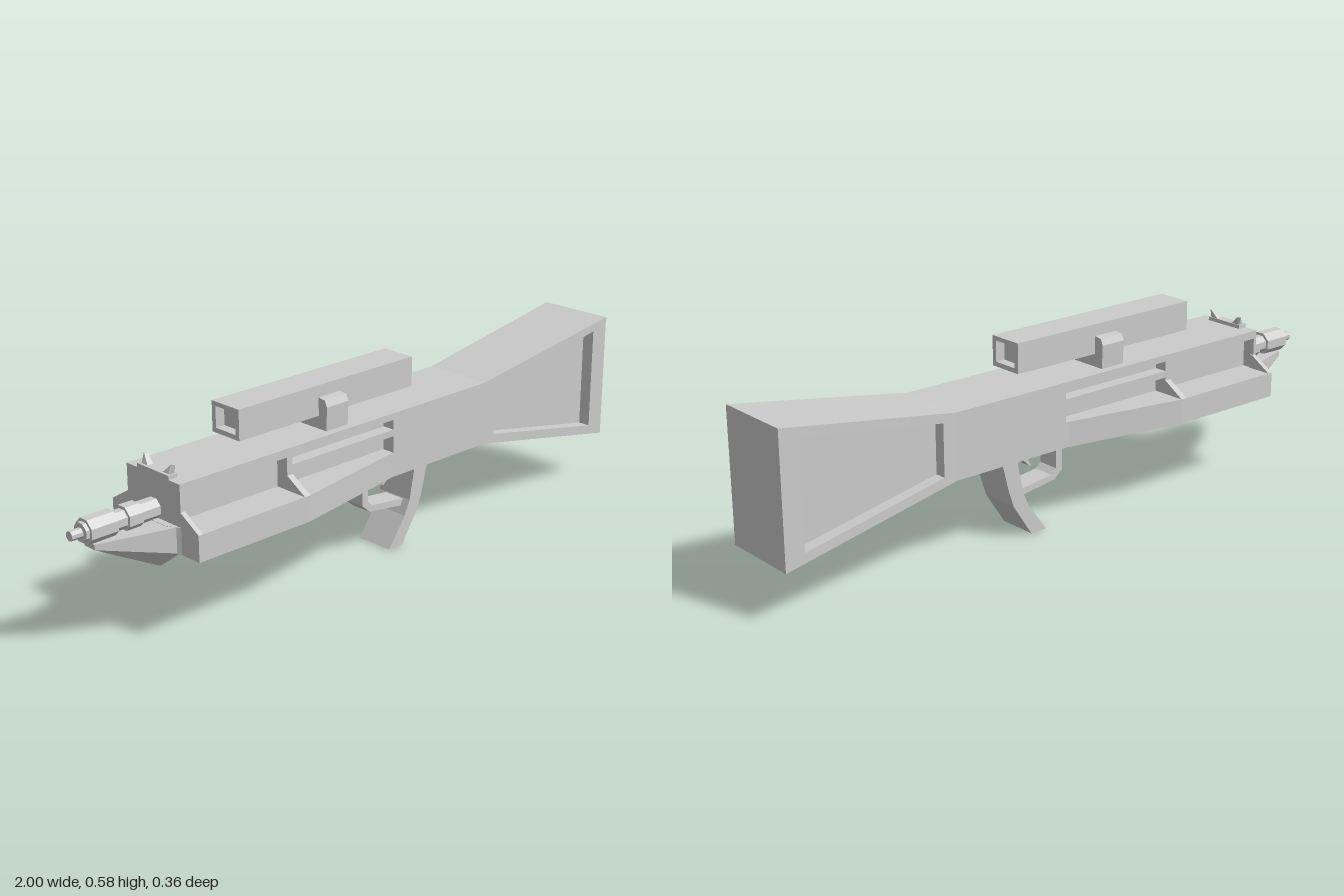
import * as THREE from 'three';
import { ConvexGeometry } from 'three/addons/geometries/ConvexGeometry.js';

const material = new THREE.MeshStandardMaterial({ color: 0xcccccc, flatShading: true });
const vec = (pts) => pts.map(([x, y]) => new THREE.Vector2(x, y));
const rect = (x0, x1, y0, y1) => [[x0, y0], [x1, y0], [x1, y1], [x0, y1]];

// Outline in the xy plane (with optional holes), extruded from z0 to z1
function slab(points, z0, z1, holes = []) {
  const shape = new THREE.Shape(vec(points));
  for (const h of holes) shape.holes.push(new THREE.Path(vec(h)));
  const geo = new THREE.ExtrudeGeometry(shape, { depth: z1 - z0, bevelEnabled: false });
  return geo.translate(0, 0, z0);
}

// Outline in the zy plane, extruded along x
function crossSlab(points, x0, x1, holes) {
  return slab(points, x0, x1, holes).rotateY(Math.PI / 2);
}

const hull = (pts) => new ConvexGeometry(pts.map((p) => new THREE.Vector3(...p)));

export function createModel() {
  const model = new THREE.Group();
  const add = (name, geo) => {
    const mesh = new THREE.Mesh(geo, material);
    mesh.name = name;
    model.add(mesh);
    return mesh;
  };

  // Receiver: narrow core with slotted side plates
  const bodyOutline = rect(-0.73, 0.44, 0.255, 0.45);
  const slots = [
    rect(-0.72, -0.36, 0.33, 0.425),
    rect(-0.34, 0.05, 0.40, 0.43),
    rect(-0.34, 0.05, 0.33, 0.38),
  ];
  add('receiverCore', slab(bodyOutline, -0.07, 0.07));

  // Stock: flared outline with a recessed panel each side, widening to the butt
  const stockOutline = [[0.44, 0.255], [1, 0.15], [1, 0.54], [0.44, 0.45]];
  const panel = [[0.485, 0.275], [0.94, 0.19], [0.94, 0.505], [0.485, 0.43]];
  const widen = (geo) => {
    const p = geo.attributes.position;
    for (let i = 0; i < p.count; i++) p.setZ(i, p.getZ(i) * (1 + (p.getX(i) - 0.44) * 0.19));
    return geo;
  };
  add('stockCore', widen(slab(stockOutline, -0.075, 0.075)));

  for (const s of [1, -1]) {
    const side = s > 0 ? 'front' : 'rear';
    const [a, b] = s > 0 ? [0.07, 0.11] : [-0.11, -0.07];
    add(side + 'ReceiverPlate', slab(bodyOutline, a, b, slots));
    const [c, d] = s > 0 ? [0.075, 0.11] : [-0.11, -0.075];
    add(side + 'StockPlate', widen(slab(stockOutline, c, d, [panel])));

    // Handguard wing, full width forward and tapering back into the receiver
    const wing = [];
    for (const y of [0.254, 0.33]) {
      wing.push([-0.73, y, s * 0.1], [-0.73, y, s * 0.18], [-0.345, y, s * 0.18], [0.04, y, s * 0.11], [0.04, y, s * 0.1]);
    }
    add(side + 'Wing', hull(wing));

    // Triangular webs at both ends of the wing ledge
    for (const [x0, x1] of [[-0.73, -0.715], [-0.36, -0.34]]) {
      const web = [];
      for (const x of [x0, x1]) web.push([x, 0.32, s * 0.1], [x, 0.33, s * 0.18], [x, 0.372, s * 0.11], [x, 0.372, s * 0.1]);
      add(side + 'WingWeb', hull(web));
    }

    // Foresight prongs, leaning back and spread apart
    add(side + 'SightProng', hull([
      [-0.728, 0.445, s * 0.015], [-0.705, 0.445, s * 0.015],
      [-0.728, 0.445, s * 0.055], [-0.705, 0.445, s * 0.055],
      [-0.712, 0.485, s * 0.055], [-0.7, 0.485, s * 0.055], [-0.706, 0.485, s * 0.065],
    ]));
  }
  add('sightBase', new THREE.BoxGeometry(0.03, 0.015, 0.13).translate(-0.715, 0.454, 0));

  // Muzzle collar and wedge below the barrel
  add('muzzleCollar', hull([
    ...[[-0.73, 0.11], [-0.75, 0.07]].flatMap(([x, z]) =>
      [[x, 0.33, z], [x, 0.33, -z], [x, 0.255, z], [x, 0.255, -z]]),
  ]));
  add('noseWedge', hull([-1, 1].flatMap((s) => [
    [-0.94, 0.32, s * 0.022], [-0.94, 0.305, s * 0.022], [-0.76, 0.215, s * 0.055],
    [-0.755, 0.245, s * 0.075], [-0.73, 0.255, s * 0.1], [-0.73, 0.33, s * 0.1],
  ])));

  // Stepped octagonal barrel: start x, end x, half-height
  const steps = [
    [-1, -0.96, 0.013], [-0.966, -0.955, 0.026], [-0.955, -0.87, 0.034], [-0.87, -0.835, 0.026],
    [-0.835, -0.79, 0.034], [-0.79, -0.72, 0.028],
  ];
  for (const [x0, x1, r] of steps) {
    const R = r / Math.cos(Math.PI / 8);
    const geo = new THREE.CylinderGeometry(R, R, x1 - x0, 8).rotateY(Math.PI / 8).rotateZ(Math.PI / 2);
    add('barrelStep', geo.translate((x0 + x1) / 2, 0.355, 0));
  }

  // Scope: square tube with recessed ends
  add('scopeTube', crossSlab(rect(-0.055, 0.055, 0.488, 0.577), -0.48, 0.18, [rect(-0.04, 0.04, 0.502, 0.564)]));
  add('scopeLens', new THREE.BoxGeometry(0.6, 0.064, 0.082).translate(-0.15, 0.533, 0));

  // Scope cradle hugging the tube
  add('scopeMount', crossSlab([
    [-0.085, 0.448], [0.085, 0.448], [0.088, 0.52], [0.08, 0.538], [0.053, 0.542], [0.053, 0.488],
    [-0.053, 0.488], [-0.053, 0.542], [-0.08, 0.538], [-0.088, 0.52],
  ], -0.19, -0.108));

  // Grip, guard and trigger
  add('grip', slab([
    [0.085, 0], [0.14, 0], [0.205, 0.1], [0.222, 0.15], [0.25, 0.26], [0.195, 0.26], [0.17, 0.135], [0.15, 0.09],
  ], -0.062, 0.062));
  add('triggerGuard', slab([
    [0, 0.26], [0, 0.155], [0.03, 0.13], [0.16, 0.112], [0.17, 0.132],
    [0.04, 0.147], [0.022, 0.163], [0.022, 0.26],
  ], -0.035, 0.035));
  add('trigger', slab([
    [0.122, 0.26], [0.122, 0.225], [0.1, 0.188], [0.107, 0.186], [0.126, 0.205], [0.133, 0.26],
  ], -0.015, 0.015));

  return model;
}
